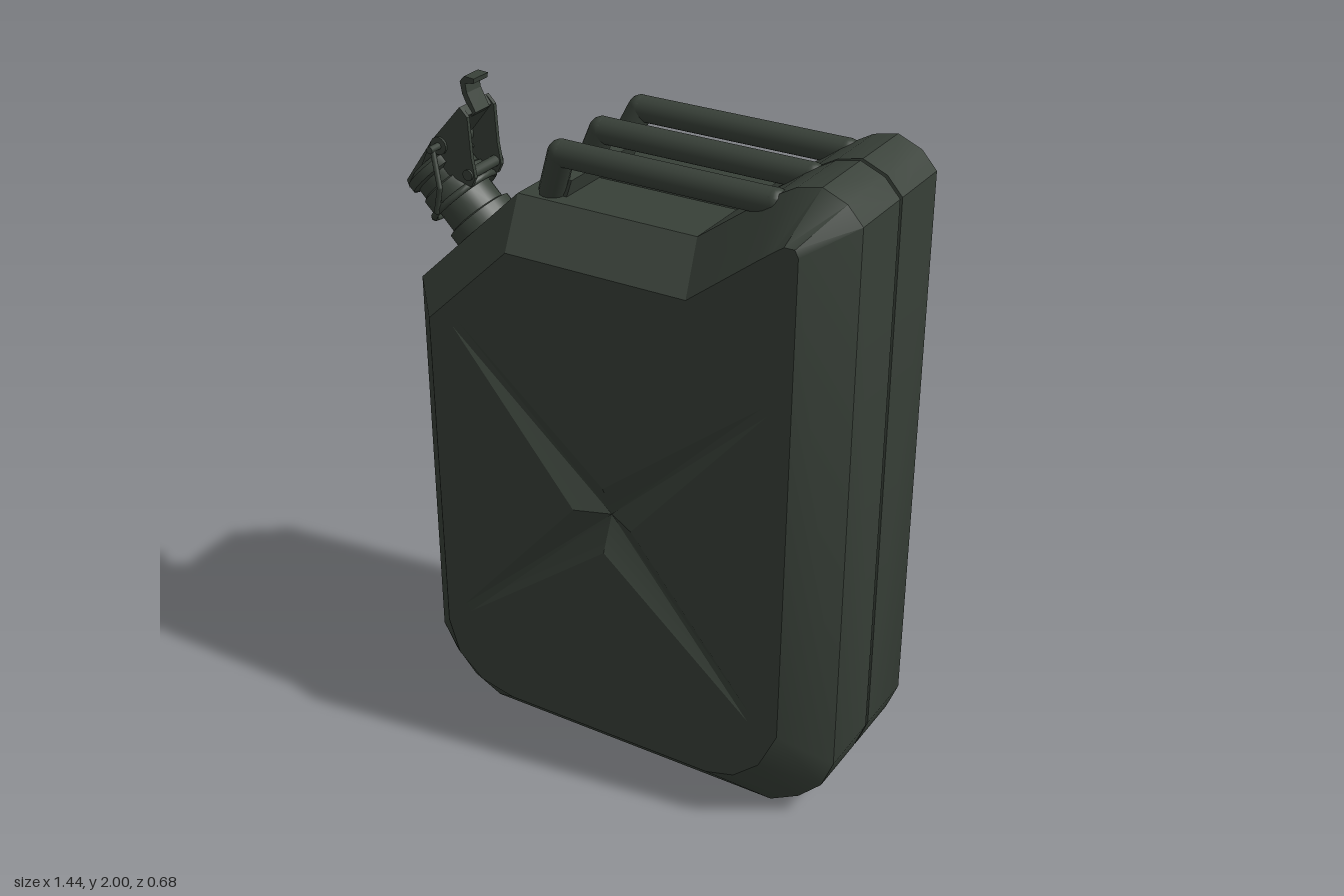
import * as THREE from 'three';
import { mergeGeometries, toCreasedNormals } from 'three/addons/utils/BufferGeometryUtils.js';

const green = new THREE.MeshStandardMaterial({ color: 0x384038 });
green.name = 'olive green';

// Body side outline (outer wall) and the matching, smaller outline of the flat panel
const OUTER = [[-0.45, 0], [0.52, 0], [0.61, 0.05], [0.68, 0.12], [0.715, 0.21], [0.715, 1.86], [0.67, 1.91],
  [0.6, 1.94], [0.53, 1.925], [0.46, 1.885], [0.25, 1.73], [-0.31, 1.73], [-0.655, 1.4], [-0.655, 0.2],
  [-0.61, 0.12], [-0.54, 0.045]];
const INNER = [[-0.31, 0.125], [0.37, 0.125], [0.46, 0.15], [0.54, 0.22], [0.595, 0.34], [0.605, 1.8], [0.595, 1.82],
  [0.565, 1.82], [0.53, 1.795], [0.49, 1.765], [0.29, 1.61], [-0.27, 1.61], [-0.54, 1.35], [-0.535, 0.33],
  [-0.5, 0.22], [-0.42, 0.15]];
// Pressed cross, counter-clockwise: two points per arm tip and a notch between arms
const CROSS = [[0.12, 0.86], [0.535, 1.345], [0.515, 1.36], [0.03, 0.97], [-0.44, 1.365], [-0.46, 1.345],
  [-0.07, 0.87], [-0.47, 0.41], [-0.45, 0.39], [0.03, 0.76], [0.5, 0.36], [0.515, 0.38]];
const DEPTH = 0.34;

function add(parent, name, geometry) {
  const mesh = new THREE.Mesh(geometry, green);
  mesh.name = name;
  parent.add(mesh);
  return mesh;
}

function fromTriangles(positions) {
  const g = new THREE.BufferGeometry();
  g.setAttribute('position', new THREE.Float32BufferAttribute(positions, 3));
  return g;
}

// Skin between closed rings of equal length, ordered back to front
function loft(rings) {
  const p = [];
  for (let r = 0; r + 1 < rings.length; r++) {
    const a = rings[r], b = rings[r + 1];
    a.forEach((_, i) => {
      const j = (i + 1) % a.length;
      p.push(...a[i], ...a[j], ...b[j], ...a[i], ...b[j], ...b[i]);
    });
  }
  return fromTriangles(p);
}

// Mirror in z, swapping corners so faces still point outward
function mirrorZ(geometry) {
  const s = geometry.attributes.position, p = [];
  for (let i = 0; i < s.count; i += 3)
    for (const k of [i, i + 2, i + 1]) p.push(s.getX(k), s.getY(k), -s.getZ(k));
  return fromTriangles(p);
}

function shell() {
  const at = (ring, z) => ring.map(([x, y]) => [x, y, z]);
  const seam = OUTER.map(([x, y]) => [x * 0.982, 0.95 + (y - 0.95) * 0.986]);
  const walls = loft([at(seam, 0), at(seam, 0.004), at(OUTER, 0.007), at(OUTER, 0.215), at(INNER, DEPTH)]);

  const vec = (pts) => pts.map(([x, y]) => new THREE.Vector2(x, y));
  const shape = new THREE.Shape(vec(INNER));
  shape.holes.push(new THREE.Path(vec(CROSS).reverse()));
  const panel = new THREE.ShapeGeometry(shape).toNonIndexed();
  panel.translate(0, 0, DEPTH);
  panel.deleteAttribute('uv');
  panel.deleteAttribute('normal');

  const cross = [];
  CROSS.forEach(([x, y], i) => {
    const [u, v] = CROSS[(i + 1) % CROSS.length];
    cross.push(x, y, DEPTH, u, v, DEPTH, 0.03, 0.865, DEPTH - 0.045);
  });
  return mergeGeometries([walls, panel, fromTriangles(cross)]);
}

// Round rod through points, with ball joints at the bends
function rod(parent, name, points, radius) {
  const group = new THREE.Group();
  group.name = name;
  parent.add(group);
  const pts = points.map((p) => new THREE.Vector3(...p));
  pts.forEach((p, i) => {
    add(group, name + 'Joint', new THREE.SphereGeometry(radius, 14, 10)).position.copy(p);
    if (!i) return;
    const d = p.clone().sub(pts[i - 1]);
    const bar = add(group, name + 'Bar', new THREE.CylinderGeometry(radius, radius, d.length(), 14, 1, true));
    bar.position.copy(p).addScaledVector(d, -0.5);
    bar.quaternion.setFromUnitVectors(new THREE.Vector3(0, 1, 0), d.normalize());
  });
}

// Side profile extruded in z and centred on z = 0
function slab(profile, width) {
  const s = new THREE.Shape(profile.map(([x, y]) => new THREE.Vector2(x, y)));
  return new THREE.ExtrudeGeometry(s, { depth: width, bevelEnabled: false }).translate(0, 0, -width / 2);
}

function handles() {
  const group = new THREE.Group();
  group.name = 'handles';
  for (const z of [-0.2, 0, 0.2])
    rod(group, 'handle', [[0.465, 1.867, z], [-0.175, 1.867, z], [-0.23, 1.74, z * 0.83]], 0.038);
  add(group, 'handleFoot', slab([[-0.272, 1.72], [-0.185, 1.72], [-0.165, 1.78], [-0.245, 1.8]], 0.34));
  return group;
}

function spout() {
  const group = new THREE.Group();
  group.name = 'spout';
  group.position.set(-0.5, 1.56, 0.11);
  group.rotation.z = Math.PI / 4;

  // Neck with collar, and the closed cap
  const profile = [[0.1, -0.07], [0.1, 0.03], [0.085, 0.035], [0.085, 0.1], [0.1, 0.105], [0.1, 0.15], [0.092, 0.155],
    [0.092, 0.185], [0.108, 0.19], [0.108, 0.215], [0.085, 0.228], [0, 0.232]];
  const neck = new THREE.LatheGeometry(profile.map(([x, y]) => new THREE.Vector2(x, y)), 24);
  add(group, 'neckAndCap', toCreasedNormals(neck, 0.6));

  // Latch lever: top plate, side cheeks and curled thumb tab
  add(group, 'latchPlate', slab([[-0.09, 0.21], [0.1, 0.225], [0.235, 0.24], [0.24, 0.27], [0.08, 0.26], [-0.08, 0.232]], 0.13));
  for (const side of [-1, 1]) {
    const cheek = add(group, 'latchCheek', slab([[-0.03, 0.22], [-0.01, 0.17], [0.06, 0.16], [0.1, 0.09], [0.13, 0.1],
      [0.165, 0.15], [0.24, 0.235], [0.24, 0.27], [0.08, 0.26]], 0.012));
    cheek.position.z = side * 0.062;
    rod(group, 'bailWire', [[0.1, 0.235, side * 0.1], [0.05, 0.14, side * 0.118], [-0.02, 0.1, side * 0.11]], 0.008);
  }
  add(group, 'thumbTab', slab([[0.225, 0.235], [0.245, 0.235], [0.262, 0.29], [0.278, 0.312], [0.3, 0.295],
    [0.312, 0.303], [0.29, 0.328], [0.268, 0.327], [0.248, 0.298]], 0.065));

  // Hinge pins and the retaining ring
  for (const [x, y, r, length] of [[0.1, 0.235, 0.026, 0.15], [0.1, 0.235, 0.01, 0.23], [0.12, 0.12, 0.016, 0.15]]) {
    const pin = add(group, 'hingePin', new THREE.CylinderGeometry(r, r, length, 14));
    pin.rotation.x = Math.PI / 2;
    pin.position.set(x, y, 0);
  }
  const ring = add(group, 'retainingRing', new THREE.TorusGeometry(0.104, 0.01, 8, 28));
  ring.rotation.x = Math.PI / 2;
  ring.position.y = 0.1;
  return group;
}

export function createModel() {
  const model = new THREE.Group();
  model.name = 'fuelCan';
  const front = shell();
  add(model, 'frontShell', toCreasedNormals(front, 0.45));
  add(model, 'backShell', toCreasedNormals(mirrorZ(front), 0.45));
  model.add(handles(), spout());
  return model;
}
